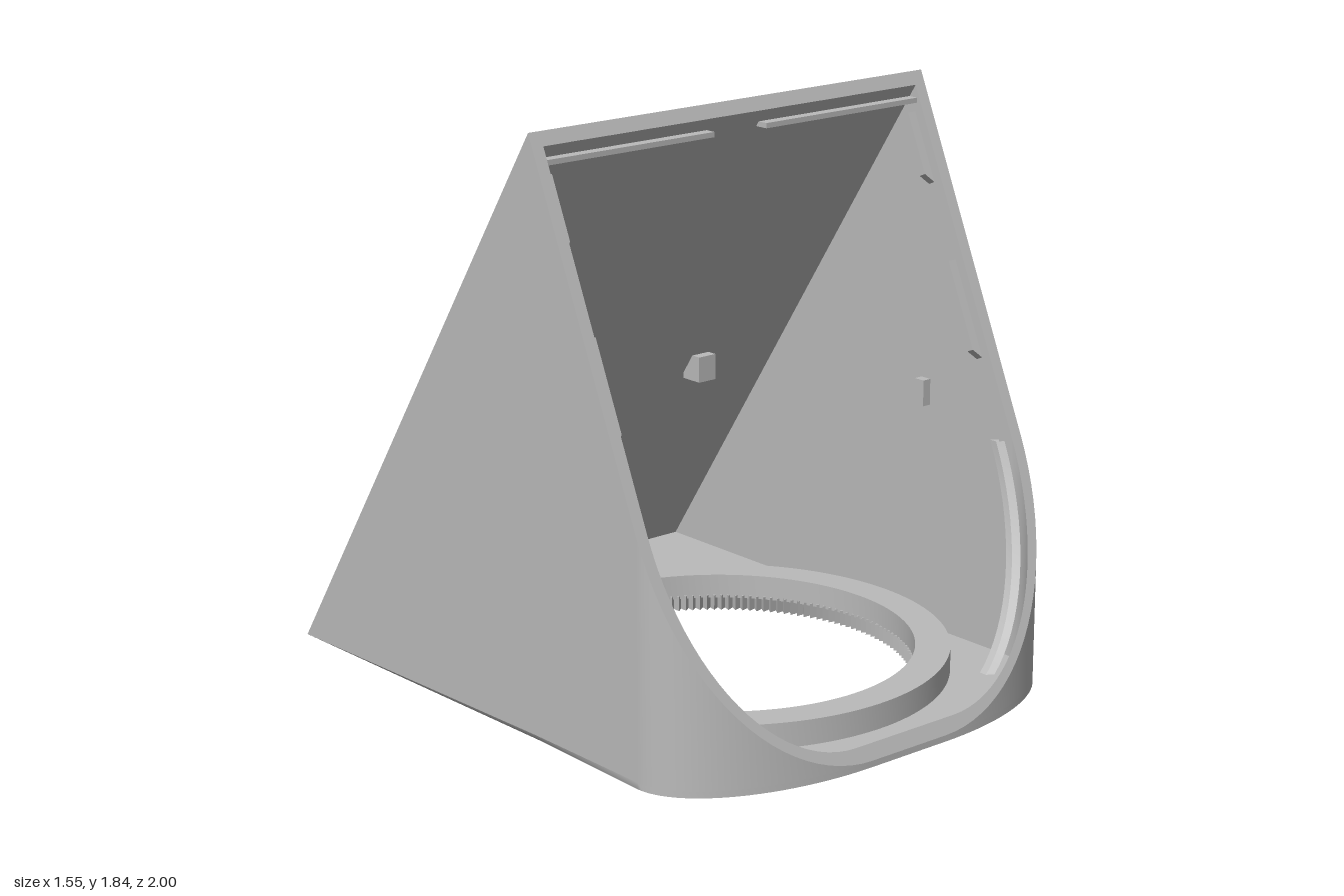
import * as THREE from 'three';
import { toCreasedNormals } from 'three/addons/utils/BufferGeometryUtils.js';

const frontZ = y => 1.0087 - 0.434 * y;            // sloped opening plane
const frontY = z => (1.0087 - z) / 0.434;
const backY = (z, off) => (z + 1 - off) / 0.6576;  // sloped back plane
const topY = (z, off) => Math.max(0, Math.min(frontY(z), backY(z, off)));
const LEAN = -Math.atan(0.434);
const RING_Z = 0.15;

// Footprint: straight sides running into a rounded front, mirrored about x = 0
function footprint(halfWidth, zStart, zApex, flatX, zFront) {
  const half = [[halfWidth, zStart], [halfWidth, zApex]];
  for (let i = 0; i <= 24; i++) {
    const a = (i / 24) * Math.PI / 2;
    half.push([flatX + (halfWidth - flatX) * Math.cos(a), 0.68 + (zFront - 0.68) * Math.sin(a)]);
  }
  return half.concat(half.map(([x, z]) => [-x, z]).reverse());
}

// Surface between two equally long rows of points
function strip(a, b, closed = false) {
  const n = a.length, index = [];
  for (let i = 0; i < (closed ? n : n - 1); i++) {
    const j = (i + 1) % n;
    index.push(i, n + i, j, j, n + i, n + j);
  }
  const g = new THREE.BufferGeometry();
  g.setAttribute('position', new THREE.Float32BufferAttribute([...a, ...b].flat(), 3));
  g.setIndex(index);
  g.computeVertexNormals();
  return g;
}

const circle = (x, y, r) => new THREE.Path().absarc(x, y, r, 0, Math.PI * 2, true);

// Flat plate lying on y with a round hole
function plate(points, y, holeRadius) {
  const s = new THREE.Shape(points.map(([x, z]) => new THREE.Vector2(x, -z)));
  s.holes.push(circle(0, -RING_Z, holeRadius));
  return new THREE.ShapeGeometry(s, 48).rotateX(-Math.PI / 2).translate(0, y, 0);
}

// Flat ring standing from y0 to y1
function ring(outer, hole, y0, y1) {
  const s = new THREE.Shape().absarc(0, 0, outer, 0, Math.PI * 2, false);
  s.holes.push(hole);
  const g = new THREE.ExtrudeGeometry(s, { depth: y1 - y0, bevelEnabled: false, curveSegments: 64 });
  return g.rotateX(-Math.PI / 2).translate(0, y0, RING_Z);
}

export function createModel() {
  const model = new THREE.Group();
  const grey = new THREE.MeshStandardMaterial({ color: 0xbababa, side: THREE.DoubleSide });
  grey.name = 'light grey';
  const add = (name, geometry, parent = model) => {
    const m = new THREE.Mesh(geometry, grey);
    m.name = name;
    parent.add(m);
    return m;
  };

  // Outer and inner shell walls
  const outer = footprint(0.775, -1, 0.21, 0.15, 1);
  const inner = footprint(0.735, -0.929, 0.228, 0.2, 0.98);
  const outerTop = outer.map(([x, z]) => [x, topY(z, 0), z]);
  const innerTop = inner.map(([x, z]) => [x, topY(z, 0.045), z]);
  const edge = outer.map(([x, z]) => [x, Math.min(0.02, topY(z, 0)), z]);
  const foot = outer.map(([x, z]) =>
    [x - Math.sign(x) * 0.015 * THREE.MathUtils.clamp((0.3 - z) / 0.1, 0, 1), 0, z]);
  add('outerWall', strip(outerTop, edge));
  add('bottomChamfer', strip(edge, foot));
  add('innerWall', strip(inner.map(([x, z]) => [x, 0.04, z]), innerTop));

  // Rim around the sloped opening
  add('openingRim', strip(outerTop.slice(1, -1), innerTop.slice(1, -1)));
  const last = outer.length - 2;
  add('topRim', strip([outerTop[last], outerTop[1]], [innerTop[last], innerTop[1]]));

  // Base and floor
  add('basePlate', plate(foot.map(p => [p[0], p[2]]), 0, 0.65)).geometry.scale(1, 1, 1);
  add('floor', plate(inner, 0.04, 0.7));

  // Raised ring with a serrated lower bore
  add('floorRing', toCreasedNormals(ring(0.72, circle(0, 0, 0.61), 0.04, 0.12), 0.5));
  const teeth = new THREE.Path();
  const count = 320;
  teeth.setFromPoints(Array.from({ length: count + 1 }, (_, i) => {
    const a = -i / count * Math.PI * 2, r = i % 2 ? 0.6 : 0.625;
    return new THREE.Vector2(r * Math.cos(a), r * Math.sin(a));
  }));
  add('serratedRing', ring(0.7, teeth, 0, 0.05));

  // Sloped back panel with four round recesses
  const back = new THREE.Group();
  back.name = 'backPanel';
  const up = new THREE.Vector3(0, 1.84, 1.21).normalize();
  const right = new THREE.Vector3(-1, 0, 0);
  back.quaternion.setFromRotationMatrix(
    new THREE.Matrix4().makeBasis(right, up, new THREE.Vector3().crossVectors(right, up)));
  back.position.z = -1;
  model.add(back);
  const face = new THREE.Shape([[-0.775, 0], [0.775, 0], [0.775, 2.202], [-0.775, 2.202]]
    .map(p => new THREE.Vector2(...p)));
  for (const x of [-0.565, 0.565]) for (const v of [0.2, 1.975]) {
    face.holes.push(circle(x, v, 0.145));
    add('recessWall', new THREE.CylinderGeometry(0.145, 0.145, 0.03, 48, 1, true)
      .rotateX(Math.PI / 2).translate(x, v, -0.015), back);
    add('recessFloor', new THREE.CircleGeometry(0.145, 48).translate(x, v, -0.03), back);
  }
  add('backOuterFace', new THREE.ShapeGeometry(face, 24), back);
  add('backInnerFace', strip(
    [[-0.735, 0.04, -0.929], [0.735, 0.04, -0.929]],
    [[-0.735, 1.799, 0.228], [0.735, 1.799, 0.228]]));

  for (const s of [-1, 1]) {
    // Retaining tabs along the sides, with a sloped lower end
    for (const [y0, y1] of [[1.5, 1.71], [0.98, 1.27]]) {
      const y = (y0 + y1) / 2;
      const g = new THREE.BoxGeometry(0.03, (y1 - y0) / Math.cos(LEAN), 0.025);
      const p = g.attributes.position;
      for (let i = 0; i < p.count; i++)
        if (p.getY(i) < 0 && p.getX(i) * s < 0) p.setY(i, p.getY(i) + 0.03);
      g.computeVertexNormals();
      const tab = add('sideTab', g);
      tab.position.set(s * 0.72, y, frontZ(y) - 0.05);
      tab.rotation.x = LEAN;
    }
    // Top retaining rail
    add('topRail', new THREE.BoxGeometry(0.63, 0.016, 0.045)).position.set(s * 0.418, 1.752, 0.215);

    // Curved rib following the rounded corner
    const path = inner.slice(2, 20).map(([x, z]) => [x * s, frontY(z), z]);
    const shift = (dx, dz) => path.map(([x, y, z]) => [x - s * dx, y - 0.02, z - dz]);
    const rows = [shift(0, 0.03), shift(0.022, 0.045), shift(0.022, 0.07), shift(0, 0.055)];
    for (let i = 0; i < 3; i++) add('cornerRib', strip(rows[i], rows[i + 1]));
  }

  // Cable clips and a shallow channel strip down the back wall
  add('backClip', new THREE.BoxGeometry(0.07, 0.085, 0.08)).position.set(0.38, 0.825, -0.39);
  add('sideClip', new THREE.BoxGeometry(0.03, 0.085, 0.04)).position.set(0.72, 0.825, 0.3);
  add('cableChannel', strip(
    [[0.345, 0.05, -0.917], [0.41, 0.05, -0.917]],
    [[0.345, 0.8, -0.424], [0.41, 0.8, -0.424]]));

  return model;
}
